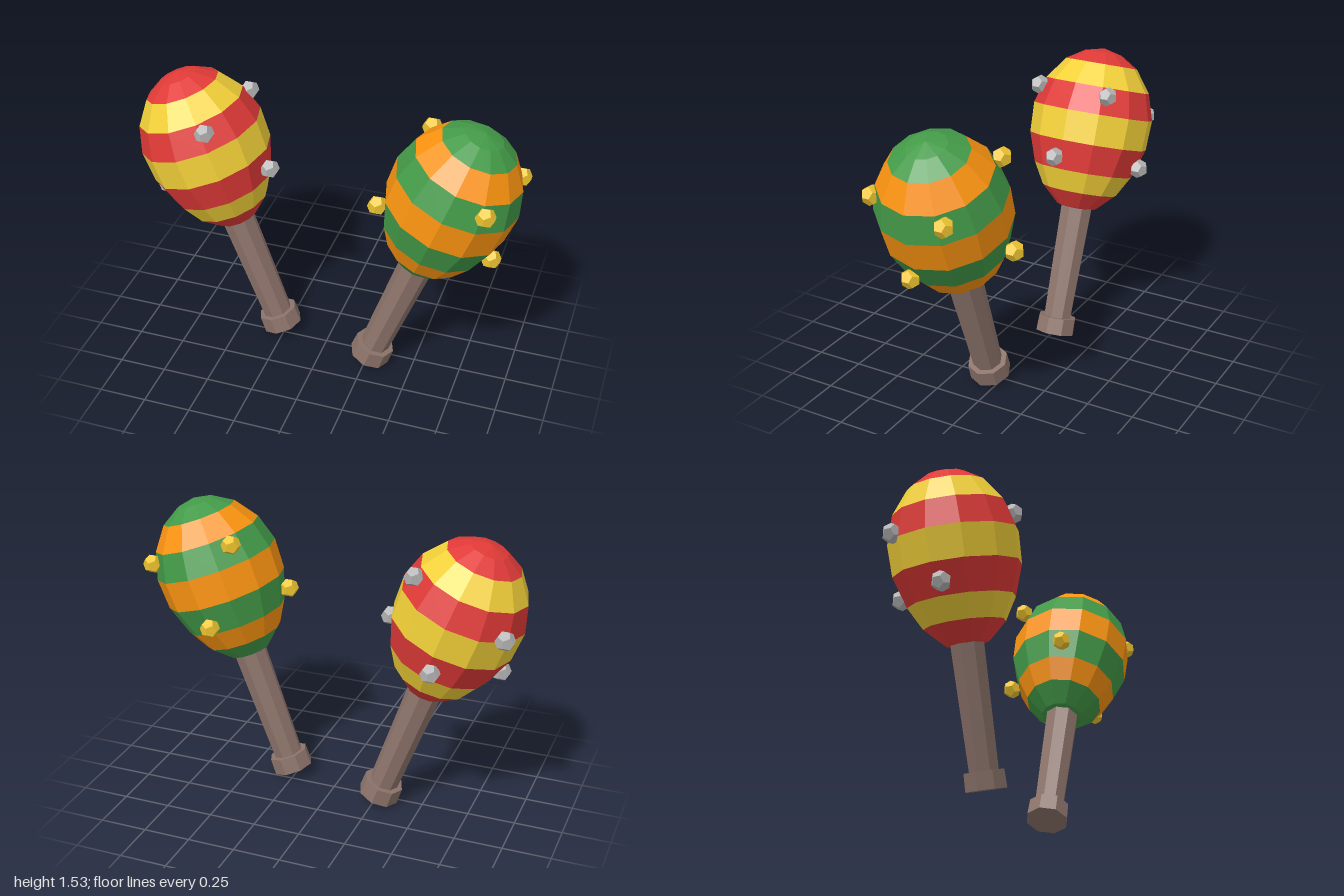
import * as THREE from 'three';

const paint = (color) => new THREE.MeshStandardMaterial({ color, flatShading: true });

function part(parent, name, geometry, material) {
  const mesh = new THREE.Mesh(geometry, material);
  mesh.name = name;
  parent.add(mesh);
  return mesh;
}

// Egg-shaped head as rings [radius, height], one stripe between neighbours
const rings = [
  [0.109, 0.712], [0.204, 0.802], [0.268, 0.916], [0.32, 1.073],
  [0.326, 1.236], [0.283, 1.378], [0.195, 1.497],
].map(([r, y]) => new THREE.Vector2(r, y));
const bottomPole = new THREE.Vector2(0, 0.69);
const crown = [new THREE.Vector2(0.1, 1.556), new THREE.Vector2(0, 1.58)];

function maraca(name, side, z, capColor, stripeColor, studColor, studs) {
  const group = new THREE.Group();
  group.name = name;

  // Handle, knob and head share one axis leaning outwards
  const body = new THREE.Group();
  body.name = name + 'Body';
  body.position.set(side * 0.266, 0.039, z);
  body.rotation.z = -side * THREE.MathUtils.degToRad(20);
  group.add(body);

  const wood = paint(0x8d746b);
  part(body, 'handle', new THREE.CylinderGeometry(0.09, 0.077, 0.72, 8), wood).position.y = 0.42;
  part(body, 'knob', new THREE.CylinderGeometry(0.106, 0.109, 0.09, 8), wood).position.y = 0.045;

  // Alternating stripes, closed by the bottom and the crown
  const colors = [paint(capColor), paint(stripeColor)];
  for (let i = 0; i < 7; i++) {
    const profile = i < 6 ? [rings[i], rings[i + 1]] : [rings[6], ...crown];
    if (i === 0) profile.unshift(bottomPole);
    part(body, 'headStripe' + (i + 1), new THREE.LatheGeometry(profile, 12), colors[i % 2]);
  }

  // Faceted studs on the head
  const studMaterial = paint(studColor);
  const studGeometry = new THREE.DodecahedronGeometry(0.051);
  studs.forEach((p, i) => {
    part(group, 'stud' + (i + 1), studGeometry, studMaterial).position.set(...p);
  });
  return group;
}

export function createModel() {
  const model = new THREE.Group();
  model.name = 'maracas';
  model.add(
    maraca('rightMaraca', -1, -0.035, 0xe03a37, 0xf2d038, 0xb4b4b4, [
      [-0.487, 1.378, -0.214], [-0.62, 0.952, -0.345], [-0.305, 1.064, 0.0],
      [-0.556, 1.353, 0.225], [-0.882, 0.856, 0.0], [-0.947, 1.13, -0.235],
    ]),
    maraca('leftMaraca', 1, 0.065, 0x439a48, 0xfb9410, 0xf0c52f, [
      [0.88, 1.233, 0.325], [0.963, 1.203, -0.12], [0.578, 0.956, -0.26],
      [0.31, 1.064, 0.144], [0.888, 0.856, 0.12], [0.497, 1.38, -0.15],
    ]),
  );
  return model;
}
